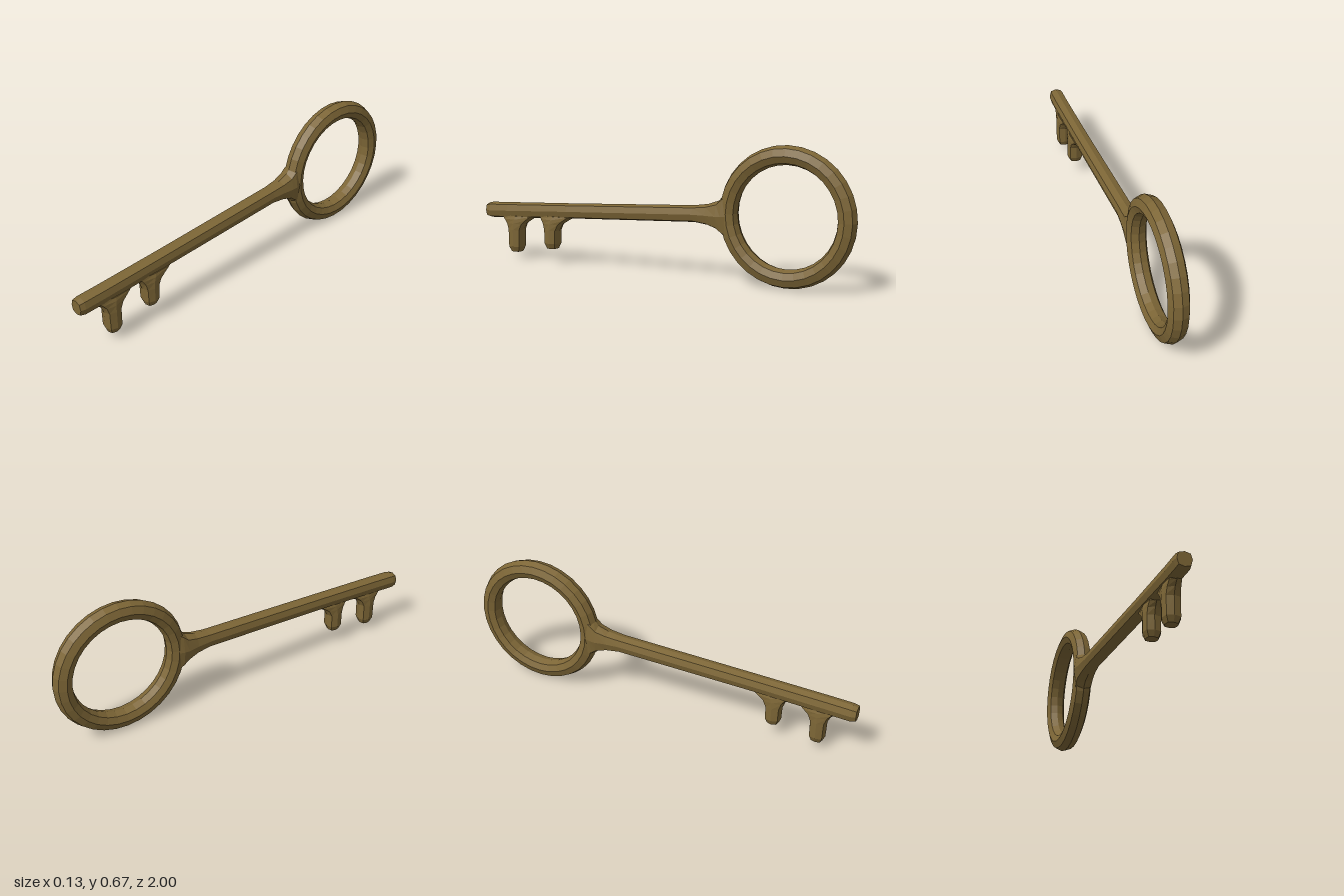
import * as THREE from 'three';

const brass = new THREE.MeshStandardMaterial({ color: 0x7d6636, flatShading: true });

// Unit octagon with softened diagonal corners, counter-clockwise
const OCT = Array.from({ length: 8 }, (_, i) => {
  const a = (i * Math.PI) / 4;
  const r = i % 2 ? 1.1 : 1;
  return [Math.cos(a) * r, Math.sin(a) * r];
});

// Skins octagonal sections [x, y, z, halfX, halfY], listed by rising z, and caps both ends
function loft(sections) {
  const pos = [], index = [], n = OCT.length;
  for (const [x, y, z, hx, hy] of sections) {
    for (const [u, v] of OCT) pos.push(x + u * hx, y + v * hy, z);
  }
  const last = (sections.length - 1) * n;
  for (let s = 0; s < last; s += n) {
    for (let j = 0; j < n; j++) {
      const k = (j + 1) % n;
      index.push(s + j, s + k, s + n + k, s + j, s + n + k, s + n + j);
    }
  }
  for (let j = 1; j < n - 1; j++) {
    index.push(0, j + 1, j, last, last + j, last + j + 1);
  }
  const g = new THREE.BufferGeometry();
  g.setAttribute('position', new THREE.Float32BufferAttribute(pos, 3));
  g.setIndex(index);
  g.computeVertexNormals();
  return g;
}

function part(name, geometry) {
  const m = new THREE.Mesh(geometry, brass);
  m.name = name;
  return m;
}

export function createModel() {
  const key = new THREE.Group();
  key.name = 'key';

  // Bow: closed eight-sided profile [radius, half width] turned about the x axis
  const profile = [
    [0.334, 0], [0.321, 0.035], [0.286, 0.049], [0.254, 0.035],
    [0.243, 0], [0.254, -0.035], [0.286, -0.049], [0.321, -0.035], [0.334, 0],
  ].map(([r, w]) => new THREE.Vector2(r, w));
  const bow = part('bow', new THREE.LatheGeometry(profile, 32));
  bow.rotation.z = Math.PI / 2;
  bow.position.set(-0.013, 0.337, -0.665);
  key.add(bow);

  // Shaft: flares into the bow, leans slightly, bevelled at the tip
  key.add(part('shaft', loft([
    [-0.014, 0.325, -0.385, 0.046, 0.125],
    [-0.014, 0.323, -0.352, 0.053, 0.1],
    [-0.014, 0.321, -0.325, 0.052, 0.071],
    [-0.012, 0.321, -0.27, 0.045, 0.051],
    [-0.01, 0.32, -0.2, 0.04, 0.041],
    [0.012, 0.282, 0.5, 0.039, 0.039],
    [0.021, 0.261, 0.86, 0.039, 0.041],
    [0.022, 0.255, 0.975, 0.039, 0.041],
    [0.022, 0.255, 1, 0.034, 0.035],
  ])));

  // Teeth: lofted upwards, spreading where they meet the shaft
  const tooth = (name, x, z, bottom, top, spread) => {
    const m = part(name, loft([
      [x, 0, bottom, 0.029, 0.028],
      [x, 0, bottom + 0.028, 0.041, 0.04],
      [x, 0, top - 0.055, 0.041, 0.042],
      [x, -spread * 0.2, top - 0.022, 0.039, 0.058],
      [x, -spread * 0.6, top, 0.036, 0.085],
      [x, -spread, top + 0.018, 0.03, 0.11],
    ]));
    m.rotation.x = -Math.PI / 2;
    m.position.z = z;
    key.add(m);
  };
  tooth('frontTooth', 0.025, 0.822, 0.045, 0.217, -0.01);
  tooth('rearTooth', 0.02, 0.6, 0.08, 0.232, -0.02);

  return key;
}
